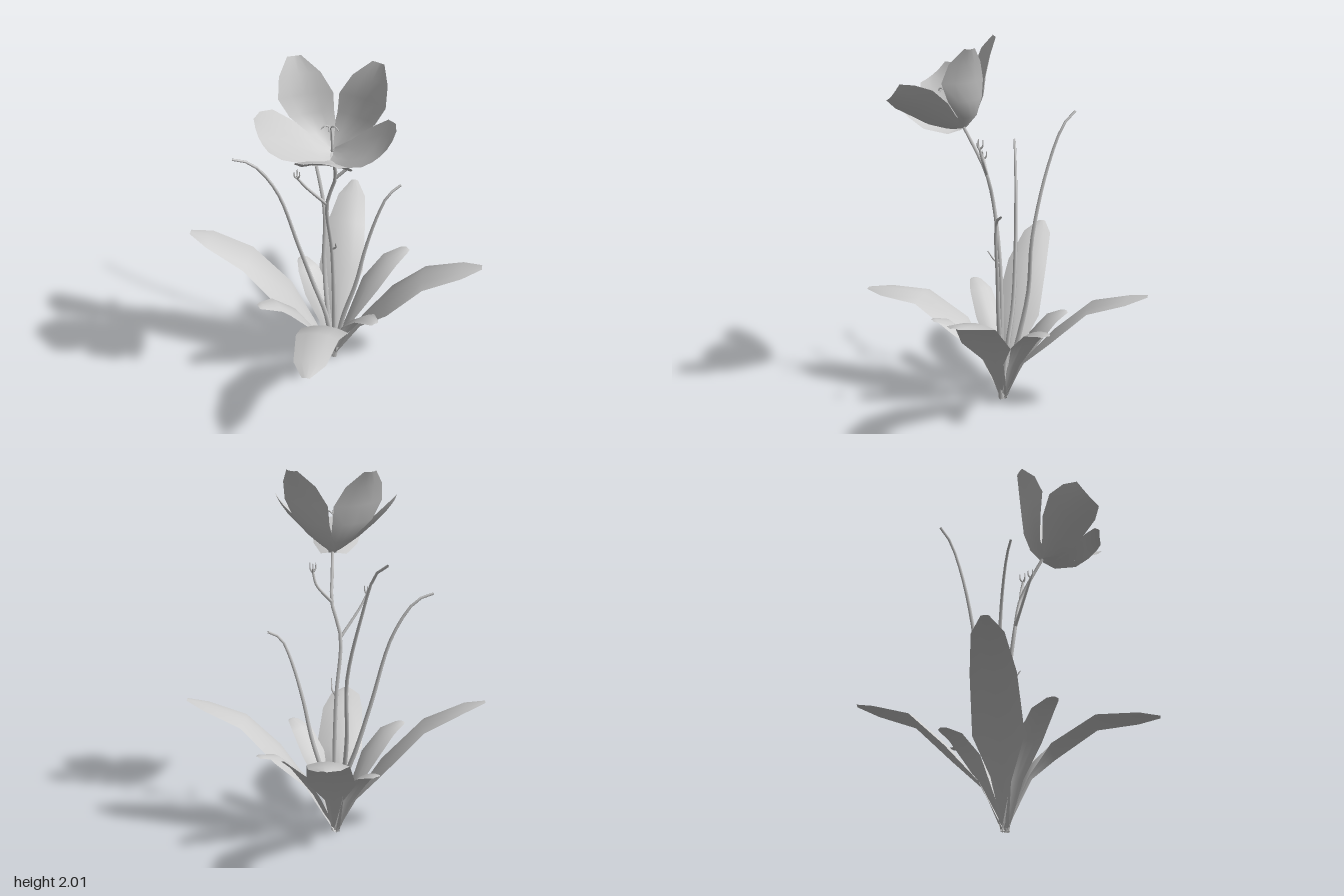
import * as THREE from 'three';

const leafMat = new THREE.MeshStandardMaterial({ color: 0xcccccc, side: THREE.DoubleSide });
const V = (a) => new THREE.Vector3(a[0], a[1], a[2]);

// Curved sheet from rows [x, y, z, halfWidth]; its edges are raised by cup * halfWidth
function sheet(name, rows, side, cup) {
  const cols = 4, pos = [], idx = [];
  rows.forEach((row, i) => {
    const before = V(rows[Math.max(i - 1, 0)]);
    const tangent = V(rows[Math.min(i + 1, rows.length - 1)]).sub(before);
    const up = new THREE.Vector3().crossVectors(side, tangent).normalize();
    for (let j = 0; j <= cols; j++) {
      const t = (j / cols) * 2 - 1;
      const p = V(row).addScaledVector(side, t * row[3]).addScaledVector(up, cup * row[3] * (t * t - 0.4));
      pos.push(p.x, p.y, p.z);
      if (i && j) {
        const d = i * (cols + 1) + j, c = d - 1, b = d - cols - 1, a = b - 1;
        idx.push(a, b, d, a, d, c);
      }
    }
  });
  const geo = new THREE.BufferGeometry();
  geo.setAttribute('position', new THREE.Float32BufferAttribute(pos, 3));
  geo.setIndex(idx);
  geo.computeVertexNormals();
  const mesh = new THREE.Mesh(geo, leafMat);
  mesh.name = name;
  return mesh;
}

// Leaf rising outward in direction (dx, dz); rows are [distance, height, halfWidth]
function leaf(name, dx, dz, rows) {
  const d = new THREE.Vector3(dx, 0, dz).normalize();
  const side = new THREE.Vector3(d.z, 0, -d.x);
  return sheet(name, rows.map(([r, y, w]) => [d.x * r - 0.01, y, d.z * r - 0.01, w]), side, 0.2);
}

// Tapering round stalk through points
function stalk(name, points, r0, r1, sides = 6) {
  const curve = new THREE.CatmullRomCurve3(points.map(V), false, 'centripetal');
  const segs = points.length * 3;
  const geo = new THREE.TubeGeometry(curve, segs, 1, sides);
  const p = geo.attributes.position, v = new THREE.Vector3();
  for (let i = 0; i < p.count; i++) {
    const t = Math.floor(i / (sides + 1)) / segs, c = curve.getPointAt(t);
    v.fromBufferAttribute(p, i).sub(c).multiplyScalar(r0 + (r1 - r0) * t).add(c);
    p.setXYZ(i, v.x, v.y, v.z);
  }
  const mesh = new THREE.Mesh(geo, leafMat);
  mesh.name = name;
  return mesh;
}

// Three small prongs at the end of a twig
function prongs(name, [x, y, z], size) {
  const g = new THREE.Group();
  g.name = name;
  for (let i = 0; i < 3; i++) {
    const a = (i / 3) * Math.PI * 2 + 0.4, c = Math.cos(a) * size, s = Math.sin(a) * size;
    g.add(stalk('prong', [[x, y, z], [x + c * 0.4, y + size * 0.5, z + s * 0.4], [x + c * 0.45, y + size * 1.3, z + s * 0.45]], 0.006, 0.002, 4));
  }
  return g;
}

export function createModel() {
  const model = new THREE.Group();
  model.name = 'floweringPlant';

  // Four broad leaves
  const broad = new THREE.Group();
  broad.name = 'broadLeaves';
  broad.add(
    leaf('leftLeaf', 1, 0, [[0, 0, 0.02], [0.16, 0.29, 0.05], [0.31, 0.47, 0.135], [0.5, 0.655, 0.11], [0.71, 0.735, 0.075], [0.815, 0.765, 0.02]]),
    leaf('rightLeaf', -1, 0, [[0, 0, 0.02], [0.11, 0.22, 0.045], [0.25, 0.42, 0.13], [0.47, 0.66, 0.115], [0.69, 0.77, 0.08], [0.8, 0.8, 0.02]]),
    leaf('backLeaf', 0, -1, [[0, 0, 0.02], [0.12, 0.25, 0.05], [0.28, 0.43, 0.13], [0.48, 0.62, 0.11], [0.68, 0.68, 0.08], [0.79, 0.71, 0.02]]),
    leaf('frontLeaf', 0, 1, [[0, 0, 0.02], [0.13, 0.28, 0.04], [0.24, 0.42, 0.13], [0.47, 0.57, 0.115], [0.69, 0.58, 0.085], [0.8, 0.575, 0.02]]));
  model.add(broad);

  // Four smaller diagonal leaves: direction, reach, tip height
  const small = new THREE.Group();
  small.name = 'smallLeaves';
  [[0.38, -0.34, 0.51, 0.58], [-0.36, 0.29, 0.46, 0.56], [-0.24, -0.3, 0.38, 0.47], [0.28, 0.31, 0.42, 0.55]].forEach(([x, z, r, h]) => {
    small.add(leaf('smallLeaf', x, z, [[0, 0, 0.02], [r * 0.25, h * 0.43, 0.035], [r * 0.48, h * 0.74, 0.075], [r * 0.75, h * 0.95, 0.065], [r * 0.95, h, 0.035], [r, h, 0.02]]));
  });
  model.add(small);

  // Tall grass-like stalks
  const tall = new THREE.Group();
  tall.name = 'tallStalks';
  [
    [[0, 0, 0], [-0.05, 0.3, -0.07], [-0.08, 0.62, -0.13], [-0.08, 0.94, -0.15], [-0.16, 1.32, -0.21], [-0.23, 1.55, -0.28], [-0.29, 1.605, -0.325]],
    [[0, 0, 0], [-0.05, 0.3, -0.02], [-0.12, 0.5, -0.03], [-0.2, 0.77, -0.02], [-0.31, 1.15, 0.01], [-0.43, 1.33, 0.05], [-0.52, 1.365, 0.08]],
    [[0, 0, 0], [0.05, 0.3, -0.01], [0.12, 0.55, -0.02], [0.17, 0.8, -0.03], [0.23, 1.02, -0.04], [0.28, 1.14, -0.06], [0.34, 1.185, -0.1]],
  ].forEach((pts) => tall.add(stalk('tallStalk', pts, 0.016, 0.007, 5)));
  model.add(tall);

  // Flower stem with side twigs and buds
  const stem = new THREE.Group();
  stem.name = 'flowerStem';
  stem.add(
    stalk('mainStem', [[0, 0, 0], [0, 0.4, 0], [-0.01, 0.8, 0.01], [-0.03, 1.12, 0.05], [0.02, 1.31, 0.075], [0.022, 1.42, 0.125], [0.025, 1.56, 0.2]], 0.014, 0.009),
    stalk('leftTwig', [[0.02, 1.31, 0.075], [0.1, 1.4, 0.07], [0.12, 1.47, 0.08]], 0.009, 0.007),
    prongs('leftBud', [0.12, 1.465, 0.08], 0.04),
    stalk('rightTwig', [[-0.03, 1.12, 0.05], [-0.13, 1.27, 0.12], [-0.165, 1.34, 0.15]], 0.009, 0.006),
    prongs('rightBud', [-0.165, 1.335, 0.15], 0.035),
    stalk('lowTwig', [[-0.008, 0.8, 0.01], [0.015, 0.83, 0.035], [0.02, 0.88, 0.07]], 0.007, 0.003, 5));
  model.add(stem);

  // Five-petalled flower, symmetrical about its own centre line
  const flower = new THREE.Group();
  flower.name = 'flower';
  flower.position.x = 0.025;
  for (const s of [1, -1]) {
    const m = (rows) => rows.map(([x, y, z, w]) => [s * x, y, z, w]);
    flower.add(
      sheet('backPetal', m([[0, 1.55, 0.2, 0.025], [0.05, 1.62, 0.155, 0.065], [0.115, 1.72, 0.14, 0.115], [0.145, 1.82, 0.14, 0.14], [0.175, 1.92, 0.12, 0.105], [0.205, 2.0, 0.09, 0.035]]),
        new THREE.Vector3(0.87, 0.05, 0.49 * s).multiply(new THREE.Vector3(1, s, 1)).normalize(), 0.2),
      sheet('sidePetal', m([[0, 1.55, 0.2, 0.025], [0.06, 1.58, 0.25, 0.075], [0.13, 1.63, 0.29, 0.125], [0.215, 1.7, 0.35, 0.145], [0.265, 1.74, 0.42, 0.13], [0.295, 1.77, 0.47, 0.09]]),
        new THREE.Vector3(0.52 * s, 0.59, -0.62).normalize().multiplyScalar(-s), 0.2));
  }
  flower.add(
    sheet('frontPetal', [[0, 1.55, 0.2, 0.025], [0, 1.535, 0.26, 0.07], [0, 1.57, 0.37, 0.12], [0, 1.63, 0.44, 0.14], [0, 1.67, 0.49, 0.125], [0, 1.68, 0.52, 0.08]], new THREE.Vector3(1, 0, 0), 0.15),
    stalk('pistil', [[0, 1.55, 0.2], [0, 1.66, 0.225], [0.005, 1.74, 0.28]], 0.006, 0.004, 5));
  for (const [x, z] of [[-0.035, 0.3], [0.05, 0.3], [0.01, 0.32]]) {
    flower.add(stalk('pistilTip', [[0.005, 1.74, 0.28], [x * 0.6, 1.755, z], [x, 1.74, z + 0.01]], 0.005, 0.004, 4));
  }
  model.add(flower);
  return model;
}
